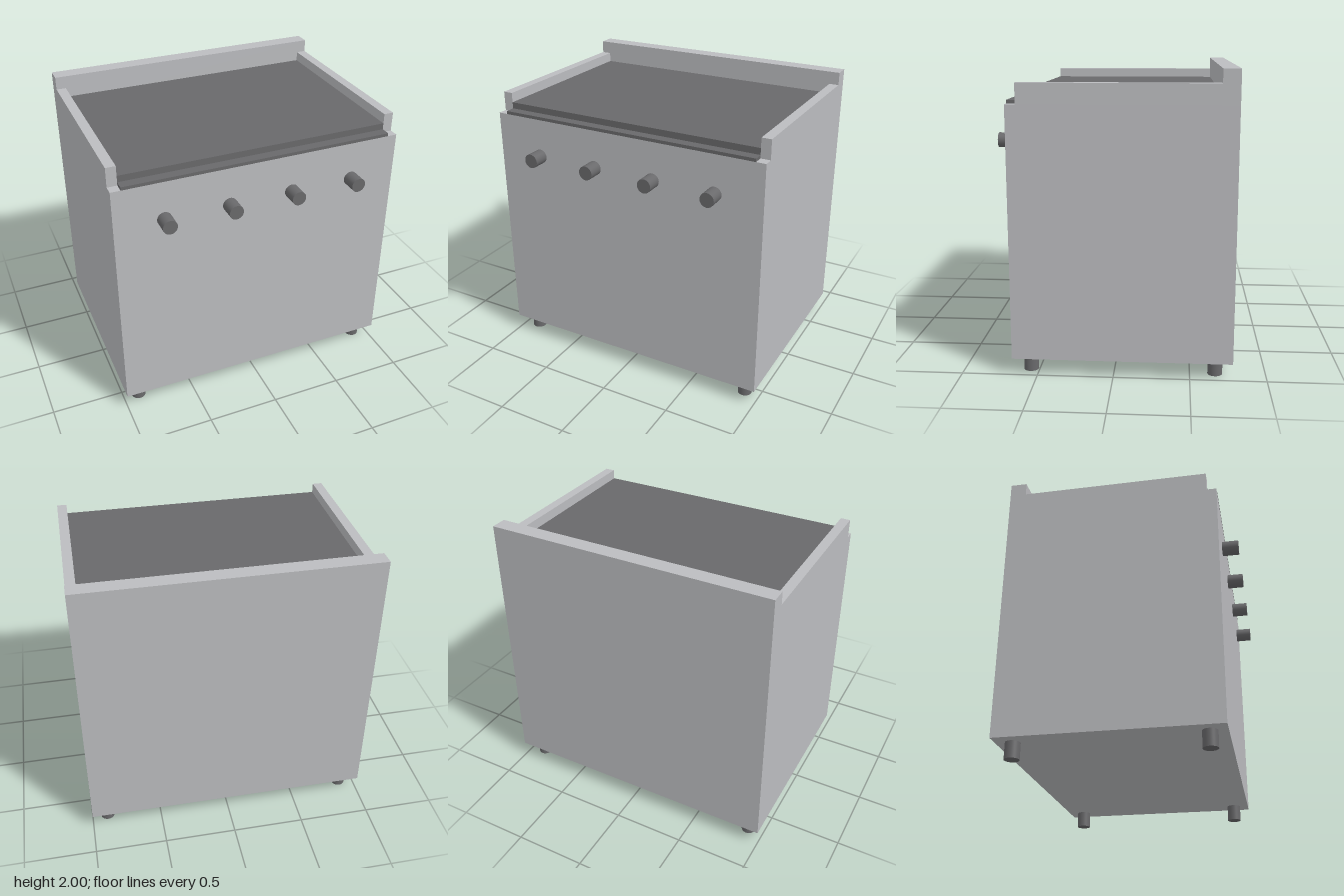
import * as THREE from 'three';

export function createModel() {
  const group = new THREE.Group();
  const steel = new THREE.MeshStandardMaterial({ color: 0xbbbcbf });
  steel.name = 'brushedSteel';
  const dark = new THREE.MeshStandardMaterial({ color: 0x69696b });
  dark.name = 'darkIron';

  const add = (name, geometry, material, x, y, z) => {
    const mesh = new THREE.Mesh(geometry, material);
    mesh.name = name;
    mesh.position.set(x, y, z);
    group.add(mesh);
    return mesh;
  };
  // Box given by its limits on each axis
  const box = (name, material, [x0, x1], [y0, y1], [z0, z1]) =>
    add(name, new THREE.BoxGeometry(x1 - x0, y1 - y0, z1 - z0), material,
      (x0 + x1) / 2, (y0 + y1) / 2, (z0 + z1) / 2);

  const bottom = 0.111, deck = 1.778, front = 0.667, back = -0.778, inner = 0.933;

  // Cabinet and the raised splash guards around the cooking surface
  box('cabinet', steel, [-1, 1], [bottom, deck], [back, front]);
  box('backSplash', steel, [-1, 1], [deck, 2], [back, -0.667]);
  box('leftGuard', steel, [inner, 1], [deck, 1.911], [-0.667, 0.6]);
  box('rightGuard', steel, [-1, -inner], [deck, 1.911], [-0.667, 0.6]);

  // Griddle plate with a lower ledge along its front edge
  box('griddlePlate', dark, [-inner, inner], [deck, 1.844], [-0.667, 0.6]);
  box('frontLedge', dark, [-inner, inner], [deck, 1.8], [0.6, front]);

  // Control knobs
  const round = new THREE.CylinderGeometry(0.049, 0.049, 0.111, 32);
  for (const x of [-0.667, -0.222, 0.222, 0.667]) {
    add('knob', round, dark, x, 1.514, front + 0.0555).rotation.x = Math.PI / 2;
  }

  // Feet
  for (const x of [-0.889, 0.889]) {
    for (const z of [-0.667, 0.556]) add('foot', round, dark, x, 0.0555, z);
  }
  return group;
}
